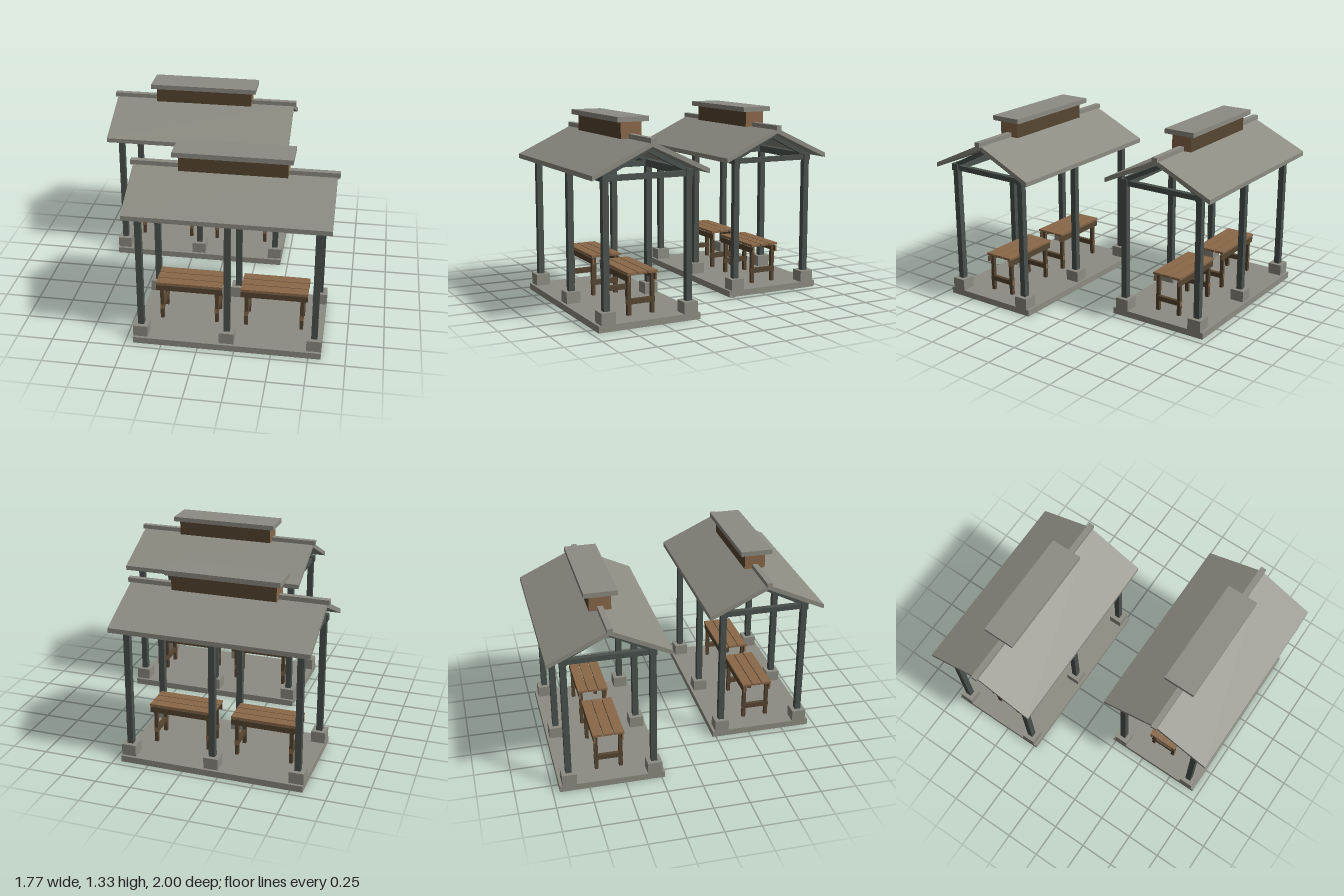
import * as THREE from 'three';

const mat = (name, color) => {
  const m = new THREE.MeshStandardMaterial({ color });
  m.name = name;
  return m;
};

export function createModel() {
  const stone = mat('stoneGrey', 0x8d8c83);
  const frame = mat('frameGreen', 0x4a514d);
  const wood = mat('lightWood', 0x8a6848);
  const dark = mat('darkWood', 0x574631);
  // dark beams with lighter cut ends along x or z
  const endsX = [wood, wood, dark, dark, dark, dark];
  const endsZ = [dark, dark, dark, dark, wood, wood];

  function box(parent, name, material, w, h, d, x, y, z) {
    const m = new THREE.Mesh(new THREE.BoxGeometry(w, h, d), material);
    m.name = name;
    m.position.set(x, y, z);
    parent.add(m);
    return m;
  }

  function table(x) {
    const g = new THREE.Group();
    g.name = 'table';
    g.position.x = x;
    for (const i of [-1, 0, 1]) box(g, 'topPlank', wood, 0.46, 0.016, 0.068, 0, 0.328, i * 0.074);
    for (const sx of [-1, 1]) {
      for (const sz of [-1, 1]) box(g, 'tableLeg', dark, 0.025, 0.275, 0.025, sx * 0.192, 0.1825, sz * 0.085);
      box(g, 'crossBar', endsZ, 0.027, 0.035, 0.2, sx * 0.192, 0.136, 0);
    }
    for (const sz of [-1, 1]) box(g, 'apron', endsX, 0.46, 0.04, 0.012, 0, 0.292, sz * 0.097);
    return g;
  }

  function pavilion() {
    const g = new THREE.Group();
    g.name = 'pavilion';
    box(g, 'floorSlab', stone, 1.28, 0.045, 0.726, 0, 0.0225, 0);

    // posts, footings and roof trusses
    for (const x of [-0.59, 0, 0.59]) {
      for (const s of [-1, 1]) {
        box(g, 'footing', stone, 0.1, 0.08, 0.1, x, 0.085, s * 0.294);
        box(g, 'post', frame, 0.042, 0.86, 0.042, x, 0.55, s * 0.294);
        const rise = 0.145, run = 0.286;
        const rafter = box(g, 'rafter', frame, 0.034, 0.03, Math.hypot(rise, run) + 0.01,
          x, 0.992 + rise / 2, s * run / 2);
        rafter.rotation.x = s * Math.atan2(rise, run);
      }
      box(g, 'tieBeam', frame, 0.036, 0.036, 0.63, x, 0.969, 0);
    }
    for (const s of [-1, 1]) box(g, 'wallPlate', frame, 1.24, 0.048, 0.05, 0, 0.974, s * 0.294);

    // gabled roof, extruded along x
    const roof = new THREE.Shape([[-0.41, 0.97], [0, 1.16], [0.41, 0.97], [0.41, 1.002], [0, 1.194], [-0.41, 1.002]]
      .map(([a, b]) => new THREE.Vector2(a, b)));
    const geo = new THREE.ExtrudeGeometry(roof, { depth: 1.35, bevelEnabled: false });
    geo.translate(0, 0, -0.675).rotateY(Math.PI / 2);
    const roofMesh = new THREE.Mesh(geo, stone);
    roofMesh.name = 'roof';
    g.add(roofMesh);
    box(g, 'ridgeCap', stone, 1.385, 0.033, 0.04, 0, 1.199, 0);

    // raised ridge vent
    box(g, 'ventBody', endsX, 0.72, 0.112, 0.148, 0, 1.24, 0);
    box(g, 'ventCap', stone, 0.79, 0.034, 0.225, 0, 1.313, 0);

    g.add(table(-0.295), table(0.295));
    return g;
  }

  // two pavilions, staggered and turned half round
  const model = new THREE.Group();
  model.name = 'picnicPavilions';
  for (const s of [1, -1]) {
    const p = pavilion();
    p.name = s > 0 ? 'frontPavilion' : 'backPavilion';
    p.position.set(s * 0.195, 0, s * 0.59);
    if (s < 0) p.rotation.y = Math.PI;
    model.add(p);
  }
  return model;
}
